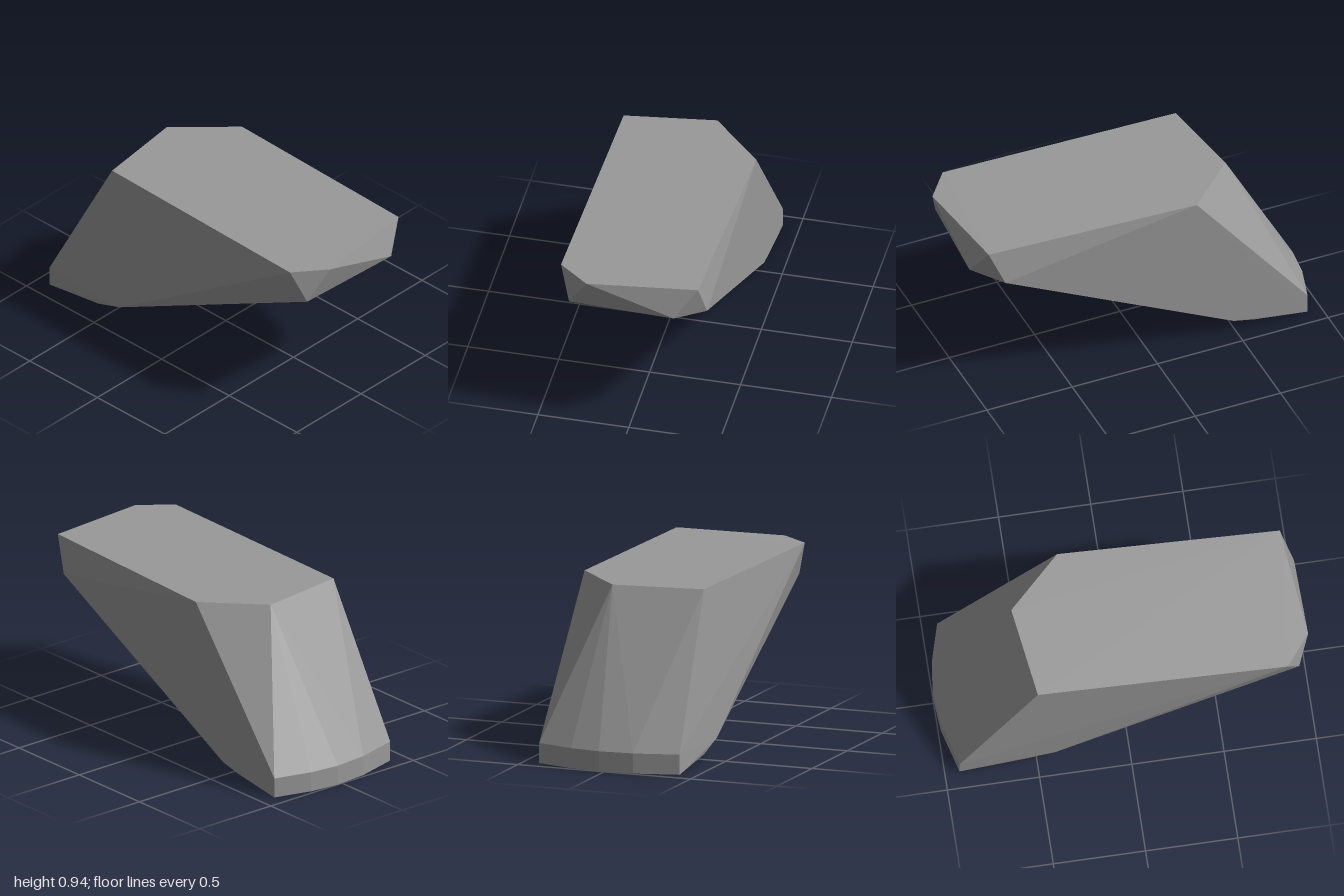
import * as THREE from 'three';
import { ConvexGeometry } from 'three/addons/geometries/ConvexGeometry.js';

export function createModel() {
  const group = new THREE.Group();
  group.name = 'rock';
  const stone = new THREE.MeshStandardMaterial({ color: 0x999999 });
  stone.name = 'grey stone';

  // flat top outline
  const top = [
    [-0.56, 0.93, -0.13], [-0.49, 0.93, 0.37], [0.86, 0.927, 0.405],
    [0.995, 0.927, 0.235], [0.93, 0.937, -0.365], [-0.27, 0.93, -0.41],
  ];
  // chipped overhanging end
  const overhang = [[0.93, 0.74, 0.345], [0.99, 0.77, -0.245], [0.845, 0.74, -0.395]];
  // corners where the underside turns up into the slope
  const underside = [
    [-0.4, 0.1, 0.407], [-0.56, 0.043, 0.4], [-0.21, 0.09, 0.16], [-0.24, 0.06, 0.04],
    [-0.21, 0.078, -0.12], [-0.49, 0.068, -0.403], [-0.615, 0.04, -0.403],
  ];
  // curved foot: the same outline at the ground and at the top of its band
  const foot = [[-0.92, 0.405], [-0.985, 0.16], [-1, -0.03], [-0.98, -0.2], [-0.92, -0.408]];
  const band = foot.flatMap(([x, z]) => [[x, 0, z], [x, 0.11, z]]);

  const points = [...top, ...overhang, ...underside, ...band].map((p) => new THREE.Vector3(...p));
  const body = new THREE.Mesh(new ConvexGeometry(points), stone);
  body.name = 'rockBody';
  group.add(body);
  return group;
}
